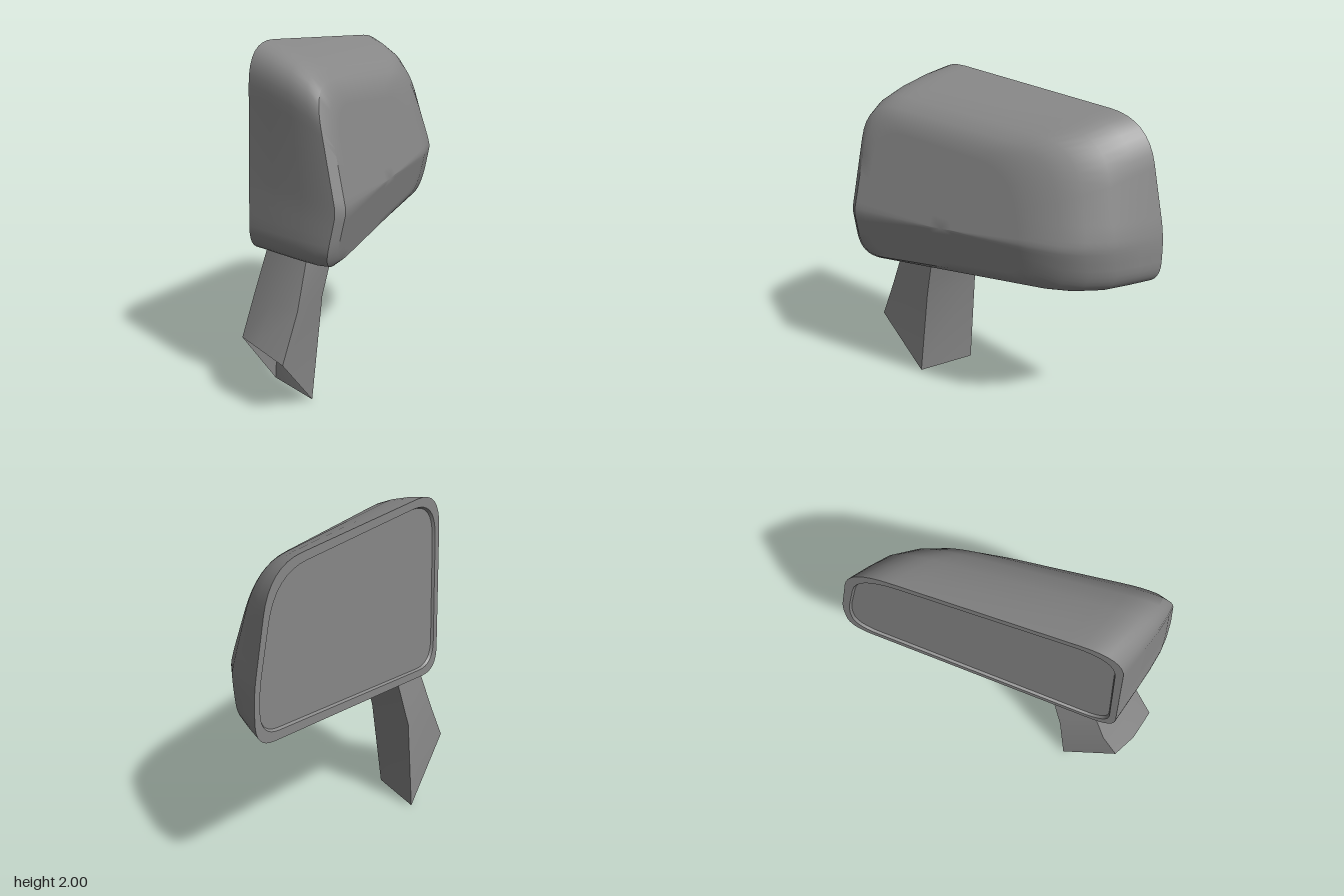
import * as THREE from 'three';
import { toCreasedNormals } from 'three/addons/utils/BufferGeometryUtils.js';

const V = (x, y, z) => new THREE.Vector3(x, y, z);

// Skin over a list of closed rings that all have the same number of points
function loft(name, rings, side = THREE.FrontSide) {
  const n = rings[0].length, index = [];
  for (let j = 0; j < rings.length - 1; j++) {
    for (let i = 0; i < n; i++) {
      const k = (i + 1) % n, a = j * n, b = a + n;
      index.push(a + i, b + i, a + k, a + k, b + i, b + k);
    }
  }
  const geo = new THREE.BufferGeometry().setFromPoints(rings.flat());
  geo.setIndex(index);
  const material = new THREE.MeshStandardMaterial({ color: 0x888888, side });
  const mesh = new THREE.Mesh(toCreasedNormals(geo, 0.6), material);
  mesh.name = name;
  return mesh;
}

// Housing coordinates: u runs along the glass, y is up, d is depth behind the glass
const place = (u, y, d) => V(-0.63 + 0.4 * u + 0.917 * d, y, -0.8 + 0.917 * u - 0.4 * d);

// Depth of the back shell, with a ridge running along its length
function backDepth(u, y) {
  const h = y - (1.3 - 0.06 * u);
  return 0.45 + 0.115 * u - (h > 0 ? 0.23 * h : -0.22 * h);
}

// Rounded five-cornered outline in (u, y), moved in or out on each side
function outline(far, near, top, bottom) {
  const c = [
    [far, 1.0 + bottom, 0.14], [1.665 + near, 0.855 + bottom, 0.16],
    [1.62 + near, 2.018 - top, 0.23], [0.14 + far, 1.928 - top, 0.24], [far, 1.3, 0.1],
  ].map(([u, y, r]) => ({ p: new THREE.Vector2(u, y), r }));
  const toward = (a, b) => a.p.clone().add(b.p.clone().sub(a.p).setLength(a.r));
  const points = [];
  for (let k = 0; k < 5; k++) {
    const a = c[k], prev = c[(k + 4) % 5], next = c[(k + 1) % 5];
    const bend = new THREE.QuadraticBezierCurve(toward(a, prev), a.p, toward(a, next));
    points.push(...bend.getPoints(8));
    const start = toward(a, next), end = toward(next, a);
    for (let s = 1; s < 12; s++) points.push(start.clone().lerp(end, s / 12));
  }
  return points;
}

const flatRing = (points, d) => points.map((p) => place(p.x, p.y, d));
const inset = (u, y) => outline(u, -u, y, y);

export function createModel() {
  const model = new THREE.Group();

  // Housing: side rings from the rim to the back, then closing over the back
  const sides = [
    // depth share, far, near, top, bottom
    [0, 0, 0, 0, 0], [0.3, 0.06, 0.045, 0.03, 0], [0.6, 0.13, 0.09, 0.075, 0],
    [0.82, 0.24, 0.115, 0.12, 0], [0.94, 0.35, 0.12, 0.17, 0.005], [1, 0.52, 0.07, 0.23, 0.035],
  ];
  const shell = sides.map(([f, ...offsets]) =>
    outline(...offsets).map((p) => place(p.x, p.y, f * backDepth(p.x, p.y))));
  const last = outline(...sides[5].slice(1));
  const middle = new THREE.Vector2(1.1, 1.235);
  for (let s = 7; s >= 0; s--) {
    shell.push(last.map((p) => {
      const q = middle.clone().lerp(p, s / 8);
      return place(q.x, q.y, backDepth(q.x, q.y));
    }));
  }
  model.add(loft('housing', shell));

  // Flat rim, recess wall and mirror glass
  const recess = 0.015;
  const rimInner = inset(0.04, 0.05), glassEdge = inset(0.048, 0.058);
  model.add(loft('rim', [flatRing(rimInner, 0), flatRing(inset(0, 0), 0)]));
  model.add(loft('recessWall', [flatRing(glassEdge, recess), flatRing(rimInner, 0)]));
  const glassCentre = glassEdge.map(() => place(0.9, 1.45, recess));
  model.add(loft('mirrorGlass', [glassCentre, flatRing(glassEdge, recess)]));

  // Mounting stalk: hollow five-sided sleeve, open at its slanted foot
  const foot = [V(-0.1, 0, 0.49), V(0.27, 0, 0.48), V(0.405, 0.33, 0.76), V(0.2, 0.38, 0.8), V(0.04, 0.38, 0.79)];
  const knee = [V(-0.11, 0.6, 0.44), V(0.25, 0.6, 0.39), V(0.375, 0.6, 0.64), V(0.2, 0.6, 0.69), V(0.01, 0.6, 0.69)];
  const head = [V(-0.1, 0.9, 0.36), V(0.25, 0.9, 0.3), V(0.33, 0.9, 0.54), V(0.15, 0.9, 0.58), V(0.01, 0.9, 0.58)];
  model.add(loft('stalk', [foot, knee, head], THREE.DoubleSide));

  return model;
}
